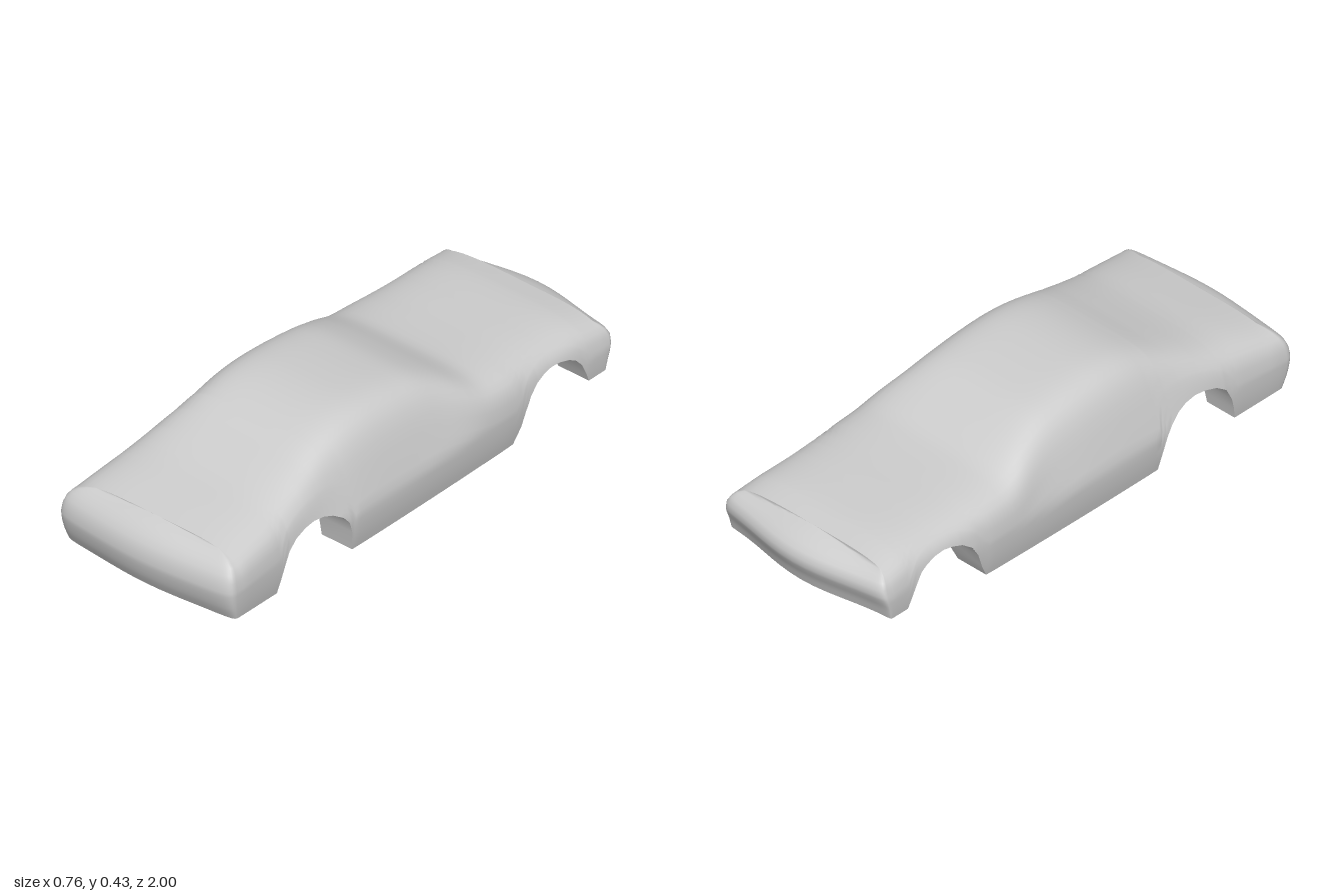
import * as THREE from 'three';
import { mergeGeometries, mergeVertices } from 'three/addons/utils/BufferGeometryUtils.js';

const material = new THREE.MeshStandardMaterial({ color: 0xcccccc, side: THREE.DoubleSide, roughness: 0.7 });

// Smooth or linear interpolation through [position, value] pairs (ascending positions)
function interpolate(pts, p, smooth = true) {
  const last = pts.length - 1;
  if (p <= pts[0][0]) return pts[0][1];
  if (p >= pts[last][0]) return pts[last][1];
  let i = 0;
  while (p > pts[i + 1][0]) i++;
  const [x0, y0] = pts[i], [x1, y1] = pts[i + 1];
  const h = x1 - x0, t = (p - x0) / h;
  if (!smooth) return y0 + (y1 - y0) * t;
  const slope = k => {
    const a = pts[Math.max(k - 1, 0)], b = pts[Math.min(k + 1, last)];
    return (b[1] - a[1]) / (b[0] - a[0]);
  };
  const t2 = t * t, t3 = t2 * t;
  return (2 * t3 - 3 * t2 + 1) * y0 + (t3 - 2 * t2 + t) * h * slope(i)
    + (3 * t2 - 2 * t3) * y1 + (t3 - t2) * h * slope(i + 1);
}

// Surface from a rule point(i, j) -> [x, y, z]
function grid(rows, cols, point) {
  const pos = [], index = [];
  for (let i = 0; i <= rows; i++) for (let j = 0; j <= cols; j++) pos.push(...point(i, j));
  for (let i = 0; i < rows; i++) for (let j = 0; j < cols; j++) {
    const a = i * (cols + 1) + j, c = a + cols + 1;
    index.push(a, a + 1, c, a + 1, c + 1, c);
  }
  const g = new THREE.BufferGeometry();
  g.setAttribute('position', new THREE.Float32BufferAttribute(pos, 3));
  g.setIndex(index);
  return g;
}

// Height of the centre line, from tail to nose
const roofLine = [[-0.9, 0.262], [-0.8, 0.278], [-0.65, 0.285], [-0.5, 0.29], [-0.35, 0.302], [-0.3, 0.318],
  [-0.2, 0.365], [-0.1, 0.402], [0, 0.42], [0.1, 0.43], [0.2, 0.433], [0.3, 0.423], [0.4, 0.397],
  [0.5, 0.36], [0.65, 0.312], [0.8, 0.282], [0.9, 0.262]];
// Half width
const width = [[-0.9, 0.368], [-0.65, 0.362], [-0.4, 0.375], [0.3, 0.377], [0.6, 0.364], [0.9, 0.375]];
// Wheel arches and the whole lower edge
const rearArch = [[-0.825, 0.065], [-0.81, 0.1], [-0.785, 0.15], [-0.76, 0.178], [-0.73, 0.193], [-0.69, 0.203],
  [-0.65, 0.206], [-0.61, 0.2], [-0.57, 0.187], [-0.53, 0.158], [-0.505, 0.115], [-0.485, 0.06], [-0.455, 0.003]];
const frontArch = [[0.345, 0.003], [0.36, 0.085], [0.375, 0.13], [0.4, 0.16], [0.44, 0.185], [0.48, 0.199],
  [0.525, 0.205], [0.57, 0.201], [0.62, 0.187], [0.66, 0.16], [0.685, 0.11], [0.7, 0.06], [0.71, 0.015]];
const lowerEdge = [[-0.9, 0.068], ...rearArch, ...frontArch, [0.9, 0.028]];

const SHOULDER = 0.15;

// Half width of the body at height y of station z
function halfWidth(z, y) {
  const w = interpolate(width, z), top = interpolate(roofLine, z);
  if (y < SHOULDER) return w * (1 - 0.05 * ((SHOULDER - y) / SHOULDER) ** 2);
  const cabin = THREE.MathUtils.smoothstep(top, 0.29, 0.42);
  const n = 4 + 2 * cabin, taper = 0.05 + 0.2 * cabin;
  const f = Math.min(1, (y - SHOULDER) / (top - SHOULDER));
  return w * (1 - taper * f) * Math.max(0, 1 - f ** n) ** (1 / n);
}

// Side point number k of a section, from lower edge up to the centre line
const LOW = 7, HIGH = 13, ROWS = LOW + HIGH;
function sidePoint(z, k) {
  const f = k <= LOW ? 0.5 * k / LOW : 1 - 0.5 * (1 - (k - LOW) / HIGH) ** 4;
  const bottom = interpolate(lowerEdge, z, false), top = interpolate(roofLine, z);
  const y = k === ROWS ? top : bottom + (top - bottom) * f;
  return [k === ROWS ? 0 : halfWidth(z, y), y];
}

// Nose or tail panel: bulges from the end section by a side profile
function endPanel(sign, profile, bow) {
  const z0 = 0.9, half = 16;
  return grid(ROWS, 2 * half, (i, j) => {
    const s = (j - half) / half;
    const t = sign * Math.sign(s) * (1 - (1 - Math.abs(s)) ** 2.5);
    const [x, y] = sidePoint(sign * z0, i);
    const reach = interpolate(profile, y) - z0 - bow * (1 - Math.cos(Math.PI * t)) / 2;
    const bulge = Math.max(0, reach) * Math.max(0, 1 - Math.abs(t) ** 6) ** (1 / 6);
    return [x * t, y, sign * (z0 + bulge)];
  });
}

function bodyShell() {
  // Regular stations plus every corner of the lower edge
  const stations = lowerEdge.map(p => p[0]);
  for (let z = -0.88; z < 0.89; z += 0.03) {
    if (stations.every(s => Math.abs(s - z) > 0.008)) stations.push(z);
  }
  stations.sort((a, b) => a - b);
  const skin = grid(stations.length - 1, 2 * ROWS, (i, j) => {
    const z = stations[i];
    const [x, y] = sidePoint(z, j <= ROWS ? j : 2 * ROWS - j);
    return [j <= ROWS ? x : -x, y, z];
  });
  const nose = endPanel(1, [[0.028, 0.96], [0.08, 0.985], [0.15, 1], [0.2, 0.985], [0.235, 0.952], [0.25, 0.928], [0.262, 0.9]], 0.022);
  const tail = endPanel(-1, [[0.068, 0.955], [0.11, 0.97], [0.15, 0.99], [0.185, 1], [0.215, 0.983], [0.235, 0.955], [0.25, 0.928], [0.262, 0.9]], 0.045);
  const g = mergeVertices(mergeGeometries([skin, nose, tail]), 1e-5);
  g.computeVertexNormals();
  return g;
}

// Strip folded inwards from the edge of a wheel arch
function archLiner(arch, side) {
  const g = grid(arch.length - 1, 1, (i, j) => {
    const [z, y] = arch[i];
    return [side * (j ? 0.227 : halfWidth(z, y)), y, z];
  });
  g.computeVertexNormals();
  return g;
}

export function createModel() {
  const car = new THREE.Group();
  car.name = 'carBody';
  const add = (name, geometry) => {
    const mesh = new THREE.Mesh(geometry, material);
    mesh.name = name;
    car.add(mesh);
  };
  add('bodyShell', bodyShell());
  for (const [label, side] of [['Left', 1], ['Right', -1]]) {
    add(`front${label}ArchLiner`, archLiner(frontArch, side));
    add(`rear${label}ArchLiner`, archLiner(rearArch, side));
  }
  return car;
}
